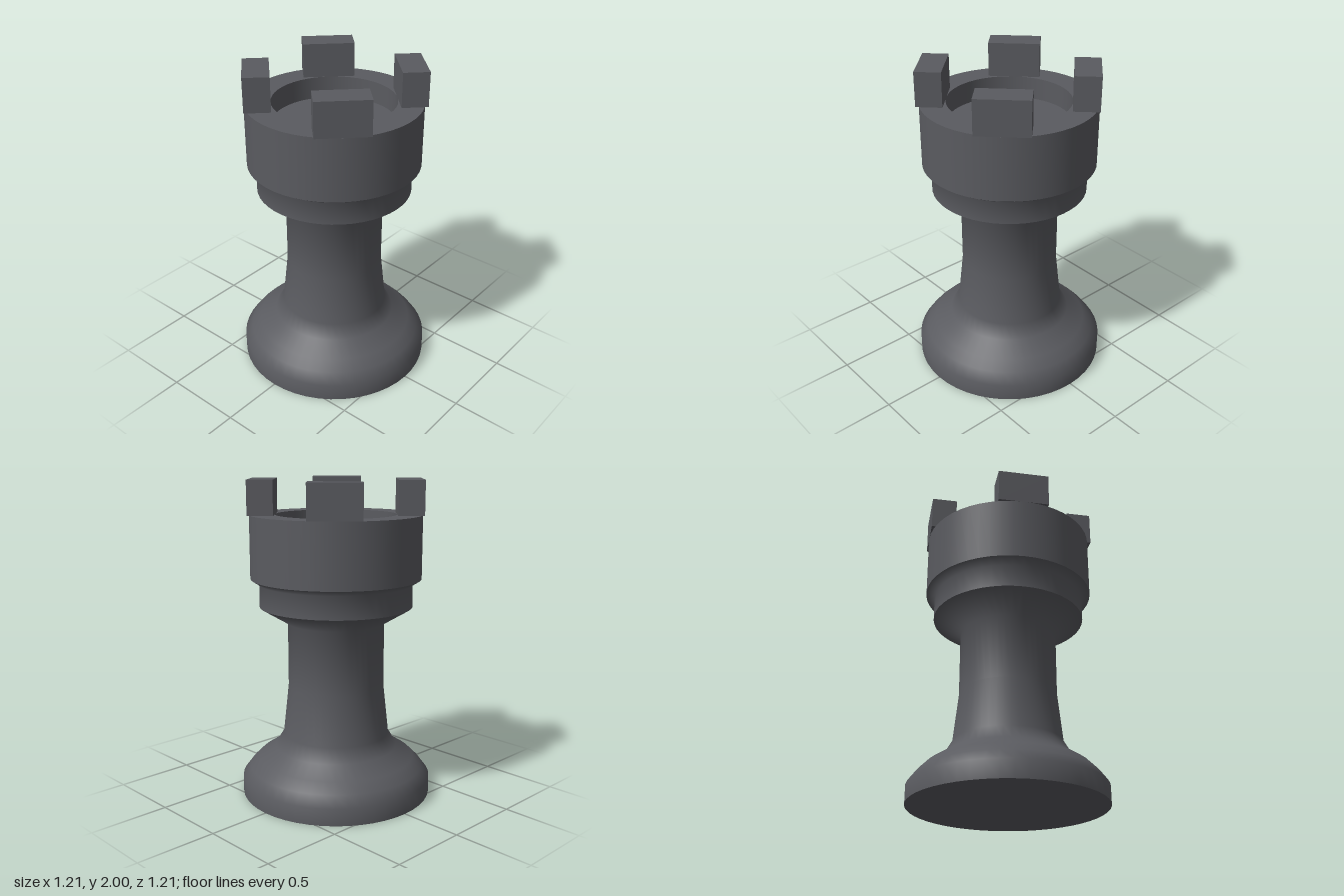
import * as THREE from 'three';

const SEGMENTS = 48;
const RIM_Y = 1.787;
const FLOOR_Y = 1.65;

export function createModel() {
  const model = new THREE.Group();
  model.name = 'rook';
  const charcoal = new THREE.MeshStandardMaterial({ color: 0x5a5b60 });
  charcoal.name = 'charcoal';

  // Each turned section is smooth within itself and sharp where it meets the next
  const sections = {
    underside: [[0, 0], [0.605, 0]],
    baseAndShaft: [
      [0.605, 0], [0.605, 0.11], [0.556, 0.175], [0.498, 0.233], [0.39, 0.303],
      [0.338, 0.39], [0.304, 0.705], [0.304, 1.112], [0.479, 1.217],
    ],
    collar: [[0.479, 1.217], [0.479, 1.36], [0.533, 1.394]],
    crownWall: [[0.533, 1.394], [0.533, RIM_Y]],
    crownRim: [[0.533, RIM_Y], [0.375, RIM_Y]],
    recessWall: [[0.375, RIM_Y], [0.375, FLOOR_Y]],
    recessFloor: [[0.375, FLOOR_Y], [0, FLOOR_Y]],
  };
  for (const [name, profile] of Object.entries(sections)) {
    const points = profile.map(([r, y]) => new THREE.Vector2(r, y));
    const mesh = new THREE.Mesh(new THREE.LatheGeometry(points, SEGMENTS), charcoal);
    mesh.name = name;
    model.add(mesh);
  }

  // Four battlement blocks on the diagonals of the rim
  const height = 2 - RIM_Y;
  const block = new THREE.BoxGeometry(0.318, height, 0.158);
  for (let i = 0; i < 4; i++) {
    const angle = Math.PI / 4 + (i * Math.PI) / 2;
    const mesh = new THREE.Mesh(block, charcoal);
    mesh.name = `battlement${i + 1}`;
    mesh.position.set(Math.sin(angle) * 0.453, RIM_Y + height / 2, Math.cos(angle) * 0.453);
    mesh.rotation.y = angle;
    model.add(mesh);
  }
  return model;
}
